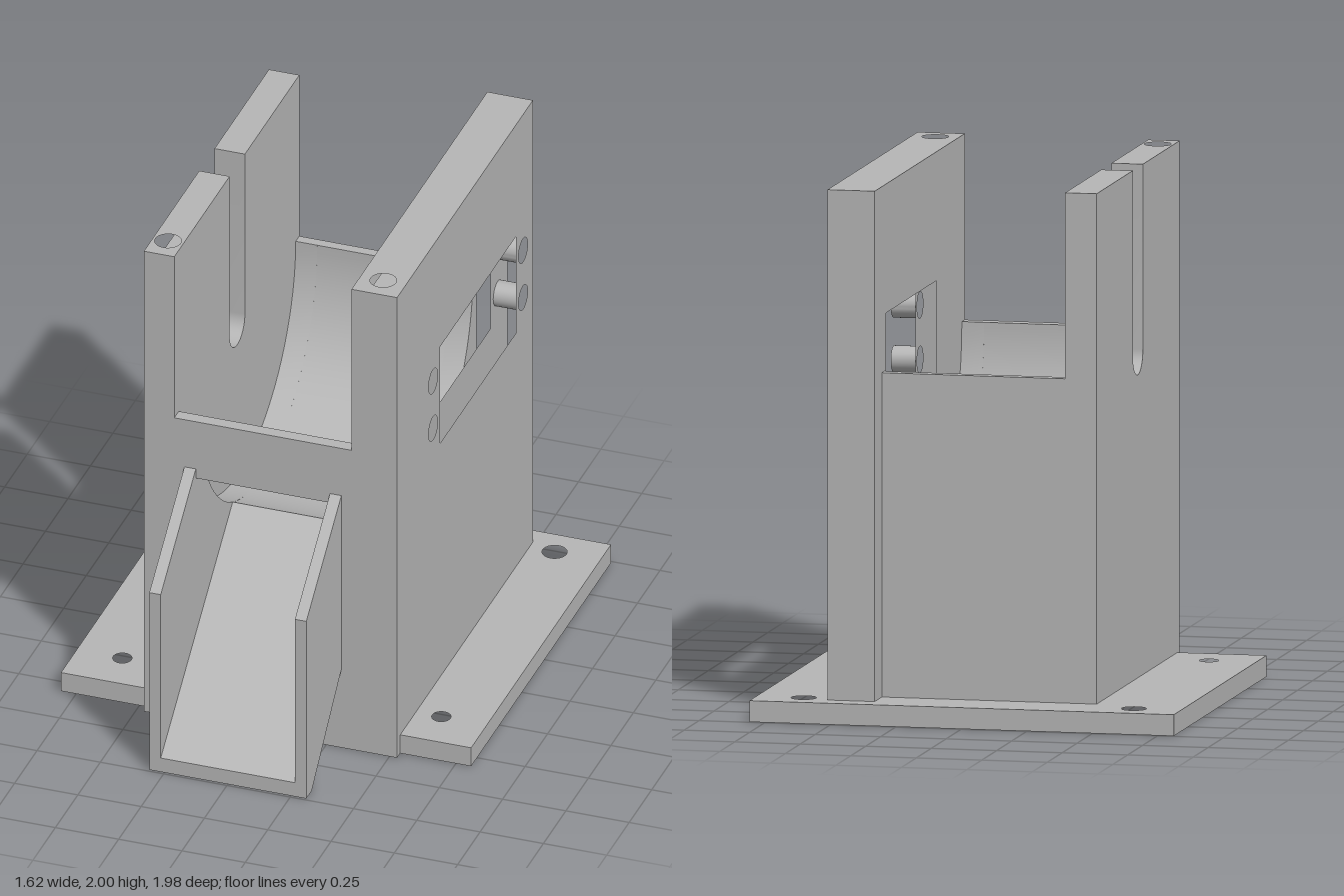
import * as THREE from 'three';
import { toCreasedNormals } from 'three/addons/utils/BufferGeometryUtils.js';

const grey = new THREE.MeshStandardMaterial({ color: 0xb6b6b6 });
grey.name = 'plain grey';

// Bowl axis and radius
const AZ = -0.1, AY = 1.3, R = 0.65;
const bowlY = z => AY - Math.sqrt(Math.max(0, R * R - (z - AZ) ** 2));
const bowlZ = y => AZ + Math.sqrt(R * R - (AY - y) ** 2);

// Points [z, y] along the bowl between two z positions
function bowlArc(z0, z1, n = 40) {
  const a0 = Math.acos((z0 - AZ) / R), a1 = Math.acos((z1 - AZ) / R);
  return Array.from({ length: n + 1 }, (_, i) => {
    const a = a0 + (a1 - a0) * i / n;
    return [AZ + R * Math.cos(a), AY - R * Math.sin(a)];
  });
}

const rect = (a0, b0, a1, b1) => [[a0, b0], [a1, b0], [a1, b1], [a0, b1]];
const circle = (a, b, r, n = 32) => Array.from({ length: n }, (_, i) => {
  const t = i / n * Math.PI * 2;
  return [a + r * Math.cos(t), b + r * Math.sin(t)];
});

function extrude(pts, holes, depth) {
  const shape = new THREE.Shape(pts.map(p => new THREE.Vector2(...p)));
  shape.holes = holes.map(h => new THREE.Path(h.map(p => new THREE.Vector2(...p))));
  return new THREE.ExtrudeGeometry(shape, { depth, bevelEnabled: false });
}

export function createModel() {
  const model = new THREE.Group();
  model.name = 'hopperStand';

  const add = (name, geo) => {
    const mesh = new THREE.Mesh(toCreasedNormals(geo, 0.5), grey);
    mesh.name = name;
    model.add(mesh);
  };
  // Profile in [z, y], extruded along x
  const alongX = (name, x0, x1, pts, holes = []) => {
    const flip = list => list.map(([z, y]) => [-z, y]);
    const g = extrude(flip(pts), holes.map(flip), x1 - x0);
    add(name, g.rotateY(Math.PI / 2).translate(x0, 0, 0));
  };
  // Profile in [x, z], extruded along y
  const alongY = (name, y0, y1, pts, holes = []) => {
    const flip = list => list.map(([x, z]) => [x, -z]);
    const g = extrude(flip(pts), holes.map(flip), y1 - y0);
    add(name, g.rotateX(-Math.PI / 2).translate(0, y0, 0));
  };

  // Base plate with four mounting holes
  const mounts = [];
  for (const s of [-1, 1]) mounts.push(circle(s * 0.63, -0.87, 0.047), circle(s * 0.63, 0.39, 0.036));
  alongY('basePlate', 0, 0.08, rect(-0.81, -0.99, 0.81, 0.565), mounts);

  // Left wall: window all the way through, blind screw holes in the outer layer
  const capY = 1.88;
  const wall = rect(-0.91, 0, 0.6, capY);
  const win = rect(-0.72, 1.095, 0.125, 1.515);
  const screws = [];
  for (const z of [0.2, -0.8]) for (const y of [1.205, 1.41]) screws.push(circle(z, y, 0.05));
  alongX('leftWallInner', 0.35, 0.43, wall, [win]);
  alongX('leftWallOuter', 0.43, 0.53, wall, [win, ...screws]);
  alongY('leftWallTop', capY, 2, rect(0.35, -0.91, 0.53, 0.6), [circle(0.44, 0.5, 0.05)]);

  // Right wall: slot open at the top with a round bottom
  const slotR = 0.085;
  const slot = Array.from({ length: 25 }, (_, i) => {
    const t = Math.PI * i / 24;
    return [AZ + slotR * Math.cos(t), AY + 0.005 - slotR * Math.sin(t)];
  });
  alongX('rightWall', -0.47, -0.35, [
    [-0.79, 0], [0.6, 0], [0.6, capY], [AZ + slotR, capY],
    ...slot, [AZ - slotR, capY], [-0.79, capY],
  ]);
  alongY('rightWallTopFront', capY, 2, rect(-0.47, AZ + slotR, -0.35, 0.6), [circle(-0.41, 0.5, 0.05)]);
  alongY('rightWallTopBack', capY, 2, rect(-0.47, -0.79, -0.35, AZ - slotR));

  // Bowl cheeks on either side of the outlet
  const cheek = [[-0.79, 0], [-0.79, AY], ...bowlArc(AZ - R, AZ + R), [0.6, AY], [0.6, 0]];
  alongX('bowlCheekLeft', 0.265, 0.35, cheek);
  alongX('bowlCheekRight', -0.35, -0.265, cheek);

  // Middle of the bowl, running out into the sloping chute floor
  const rampZ = 0.19;
  alongX('bowlAndRamp', -0.265, 0.265, [
    [-0.79, 0], [-0.79, AY], ...bowlArc(AZ - R, rampZ), [0.99, 0.06],
    [0.99, 0], [0.93, 0], [0.6, 0.34], [0.6, 0],
  ]);

  // Front wall above the outlet
  const outletTop = 1.055;
  alongX('outletLintel', -0.265, 0.265, [
    ...bowlArc(bowlZ(outletTop), AZ + R, 12), [0.6, AY], [0.6, outletTop],
  ]);

  // Chute side panels
  const panel = [[0.6, 0.34], [0.93, 0], [0.99, 0], [0.99, 0.77], [0.6, 1.095]];
  alongX('chuteSideLeft', 0.265, 0.31, panel);
  alongX('chuteSideRight', -0.31, -0.265, panel);

  // Support rib under the chute
  alongX('chuteRib', -0.02, 0.02, [[0.6, 0], [0.93, 0], [0.6, 0.34]]);

  return model;
}
